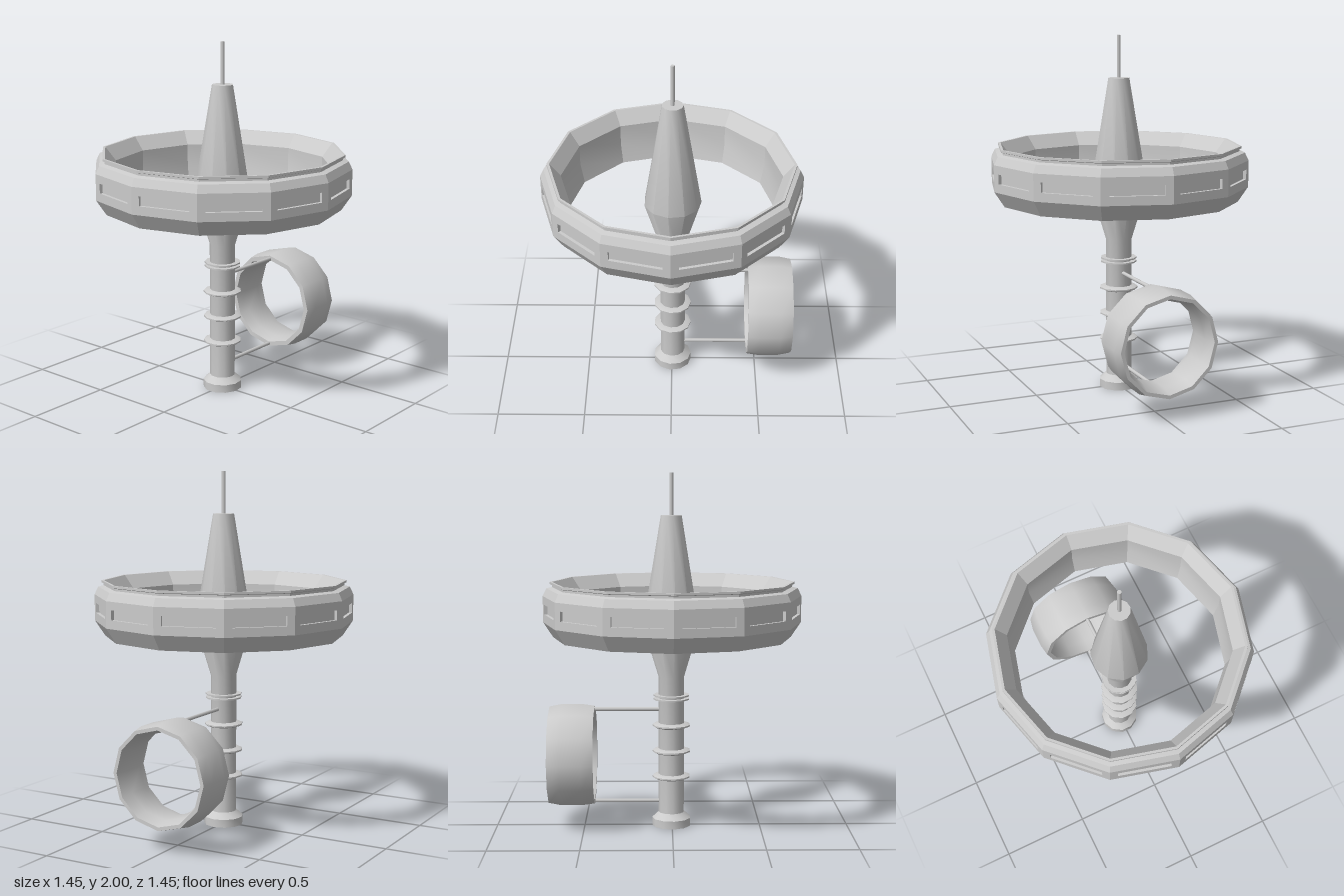
import * as THREE from 'three';
import { toCreasedNormals } from 'three/addons/utils/BufferGeometryUtils.js';

const grey = new THREE.MeshStandardMaterial({ color: 0xcccccc });
const SMOOTH = 0.7, FACETED = 0.3;

function add(parent, name, geometry) {
  const mesh = new THREE.Mesh(geometry, grey);
  mesh.name = name;
  parent.add(mesh);
  return mesh;
}

// Profile of [radius, height] turned about y; first corner lies at angle start
function turned(profile, sides, start, crease) {
  const points = profile.map(([r, y]) => new THREE.Vector2(r, y));
  return toCreasedNormals(new THREE.LatheGeometry(points, sides, start), crease);
}

function rectangle(PathType, w, y0, y1) {
  const path = new PathType();
  path.moveTo(-w / 2, y0);
  path.lineTo(w / 2, y0);
  path.lineTo(w / 2, y1);
  path.lineTo(-w / 2, y1);
  path.closePath();
  return path;
}

function createTower() {
  const tower = new THREE.Group();
  tower.name = 'tower';
  tower.position.x = 0.004;
  const sides = 11, start = Math.PI / 2;

  // Footing, shaft, flared hub and tapering spire
  add(tower, 'column', turned([
    [0, 0], [0.11, 0], [0.11, 0.045], [0.073, 0.078], [0.073, 0.86],
    [0.161, 1.15], [0.059, 1.766], [0, 1.766],
  ], sides, start, SMOOTH));

  // Bevelled collars on the shaft
  for (const y of [0.286, 0.434, 0.582]) {
    add(tower, 'collar', turned([
      [0.06, -0.015], [0.09, -0.012], [0.108, -0.004], [0.108, 0.004], [0.09, 0.012], [0.06, 0.015],
    ], sides, start, SMOOTH)).position.y = y;
  }

  // Pair of thin discs above them
  for (const y of [0.734, 0.754]) {
    add(tower, 'disc', turned([
      [0.06, -0.004], [0.102, -0.004], [0.102, 0.004], [0.06, 0.004],
    ], sides, start, SMOOTH)).position.y = y;
  }

  add(tower, 'mast', new THREE.CylinderGeometry(0.011, 0.011, 0.24, 8)).position.y = 1.88;
  return tower;
}

function createHabitatRing() {
  const ring = new THREE.Group();
  ring.name = 'habitatRing';
  const sides = 12, half = Math.PI / sides, radius = 0.724, depth = 0.018;
  const low = 1.17, high = 1.317;
  const back = radius - depth / Math.cos(half);

  // Ring body; the outer wall is set back to leave room for the window panels
  add(ring, 'ringBody', turned([
    [0.585, 1.085], [0.668, 1.085], [radius, low], [back, low], [back, high], [radius, high],
    [0.703, 1.36], [0.672, 1.368], [0.672, 1.38], [0.684, 1.384], [0.684, 1.396], [0.67, 1.396],
    [0.61, 1.32], [0.61, 1.2], [0.585, 1.085],
  ], sides, 0, FACETED));

  // One wall panel with a recessed window per side
  const wall = rectangle(THREE.Shape, 2 * radius * Math.sin(half), low, high);
  wall.holes.push(rectangle(THREE.Path, 0.29, 1.218, 1.272));
  const panel = new THREE.ExtrudeGeometry(wall, { depth, bevelEnabled: false });
  panel.translate(0, 0, radius * Math.cos(half) - depth);
  for (let i = 0; i < sides; i++) {
    add(ring, 'windowPanel', panel).rotation.y = (2 * i + 1) * half;
  }
  return ring;
}

function createSideRing() {
  const side = new THREE.Group();
  side.name = 'sideRing';

  // Open drum with its axis along x
  const drum = add(side, 'drum', turned([
    [0.258, 0.44], [0.284, 0.44], [0.294, 0.505], [0.294, 0.625], [0.28, 0.695],
    [0.26, 0.695], [0.239, 0.625], [0.239, 0.505], [0.258, 0.44],
  ], 12, 0, SMOOTH));
  drum.rotation.z = -Math.PI / 2;
  drum.position.y = 0.409;

  // Struts to the tower
  for (const y of [0.142, 0.674]) {
    const strut = add(side, 'strut', new THREE.CylinderGeometry(0.011, 0.011, 0.4, 8));
    strut.rotation.z = Math.PI / 2;
    strut.position.set(0.255, y, 0);
  }
  return side;
}

export function createModel() {
  const model = new THREE.Group();
  model.name = 'spaceStation';
  model.add(createTower(), createHabitatRing(), createSideRing());
  return model;
}
